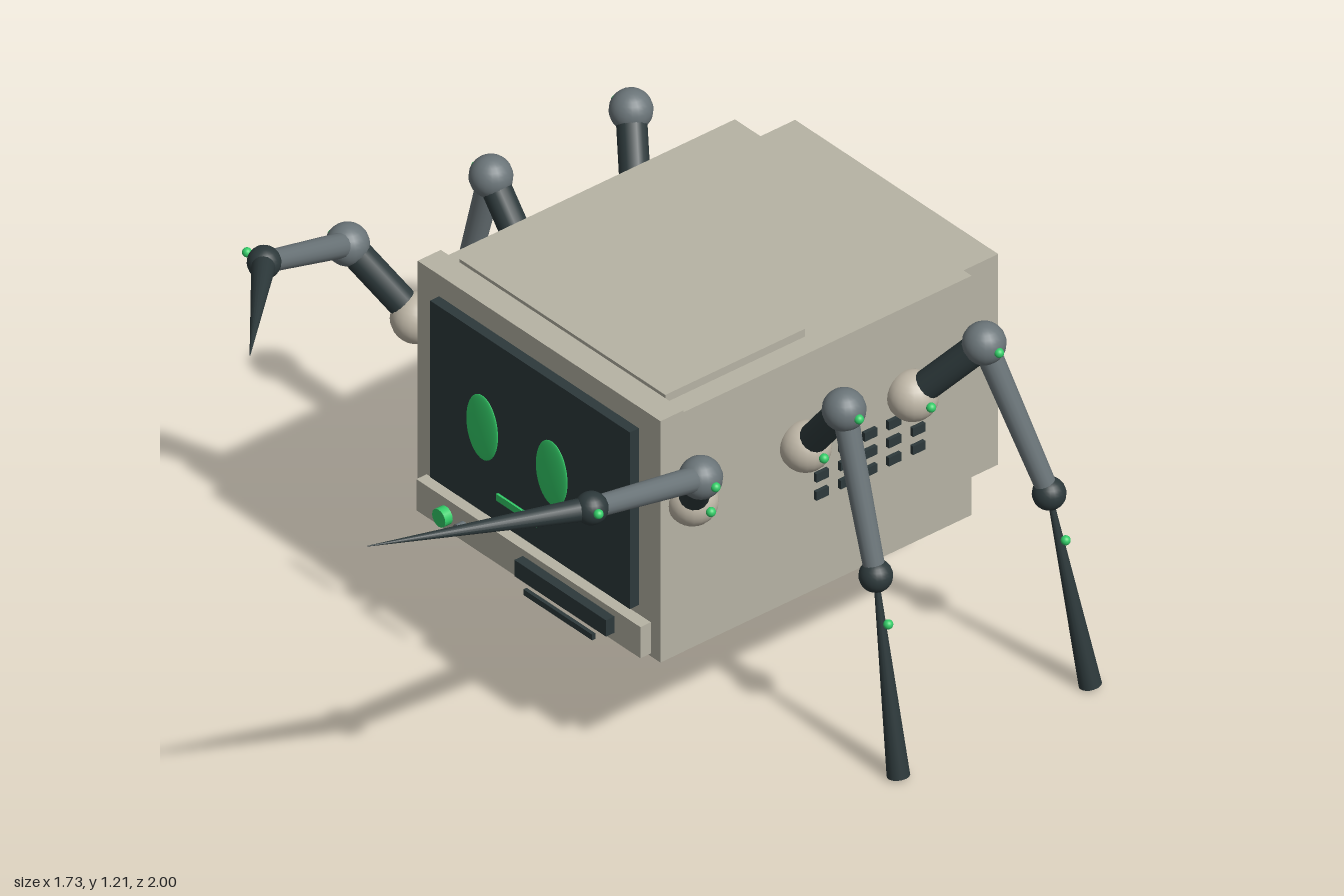
import * as THREE from 'three';

const mat = (name, color) => {
  const m = new THREE.MeshStandardMaterial({ color });
  m.name = name;
  return m;
};

export function createModel() {
  const model = new THREE.Group();
  model.name = 'spiderComputer';
  const beige = mat('casing beige', 0xb6b3a4);
  const cream = mat('shoulder cream', 0xc0b8a8);
  const grey = mat('joint grey', 0x6b7579);
  const dark = mat('dark slate', 0x2d393b);
  const green = mat('signal green', 0x33cc68);

  const add = (name, geometry, material, parent = model) => {
    const mesh = new THREE.Mesh(geometry, material);
    mesh.name = name;
    parent.add(mesh);
    return mesh;
  };
  // Box given by its limits on each axis
  const box = (name, material, [x0, x1], [y0, y1], [z0, z1]) => {
    const b = add(name, new THREE.BoxGeometry(x1 - x0, y1 - y0, z1 - z0), material);
    b.position.set((x0 + x1) / 2, (y0 + y1) / 2, (z0 + z1) / 2);
    return b;
  };
  const ball = (name, material, r, p, parent) => {
    const s = add(name, new THREE.SphereGeometry(r, 20, 14), material, parent);
    s.position.copy(p);
    return s;
  };
  // Tapered rod from a (radius ra) to b (radius rb)
  const rod = (name, material, a, b, ra, rb, parent) => {
    const d = b.clone().sub(a);
    const c = add(name, new THREE.CylinderGeometry(rb, ra, d.length(), 16), material, parent);
    c.position.copy(a).addScaledVector(d, 0.5);
    c.quaternion.setFromUnitVectors(new THREE.Vector3(0, 1, 0), d.normalize());
    return c;
  };
  const V = (x, y, z) => new THREE.Vector3(x, y, z);

  // Monitor casing
  box('casing', beige, [-0.384, 0.474], [0.324, 1.0], [-0.865, 0.031]);
  box('rearHousing', beige, [-0.325, 0.411], [0.375, 0.97], [-1.0, -0.865]);
  box('topPlate', beige, [-0.33, 0.416], [1.0, 1.022], [-0.403, 0.026]);
  box('bezel', beige, [-0.394, 0.486], [0.334, 1.016], [0.029, 0.1]);
  box('controlStrip', beige, [-0.361, 0.451], [0.342, 0.43], [0.1, 0.132]);
  box('screen', dark, [-0.316, 0.408], [0.457, 0.956], [0.1, 0.128]);

  // Face
  for (const x of [-0.08, 0.172]) {
    const eye = add('eye', new THREE.SphereGeometry(1, 32, 20), green);
    eye.scale.set(0.057, 0.09, 0.007);
    eye.position.set(x, 0.737, 0.168);
  }
  box('mouth', green, [-0.025, 0.122], [0.56, 0.579], [0.166, 0.172]);

  // Controls
  rod('powerButton', green, V(-0.253, 0.385, 0.13), V(-0.253, 0.385, 0.155), 0.024, 0.024);
  rod('smallKnob', grey, V(-0.187, 0.385, 0.13), V(-0.187, 0.385, 0.155), 0.015, 0.015);
  box('drive', dark, [0.025, 0.357], [0.366, 0.412], [0.13, 0.158]);
  box('driveSlot', dark, [0.067, 0.316], [0.338, 0.354], [0.156, 0.166]);

  // Side vents
  for (const x of [-0.389, 0.479]) {
    for (let row = 0; row < 3; row++) {
      for (let col = 0; col < 5; col++) {
        const z = -0.4 - col * 0.074, y = 0.694 - row * 0.051;
        box('vent', dark, [x - 0.005, x + 0.005], [y - 0.012, y + 0.012], [z - 0.019, z + 0.019]);
      }
    }
  }

  // Legs: s is the side, zs the shoulder, zk the knee; ankle and tip are given in full
  const leg = (name, s, zs, zk, ankle, tip, isArm) => {
    const g = new THREE.Group();
    g.name = name;
    model.add(g);
    const shoulder = V(s * 0.5, 0.764, zs), knee = V(s * 0.64, 0.94, zk);
    const inward = V(-s, 0, -(zk - zs) * 2.8).normalize();
    rod('shoulderMount', grey, shoulder.clone().addScaledVector(inward, 0.02),
      shoulder.clone().addScaledVector(inward, 0.082), 0.047, 0.047, g);
    ball('shoulder', cream, 0.063, shoulder, g);
    rod('upperLeg', dark, shoulder, knee, 0.037, 0.037, g);
    ball('knee', grey, 0.053, knee, g);
    rod('middleLeg', grey, knee, ankle, 0.031, 0.026, g);
    ball('ankle', dark, 0.041, ankle, g);
    if (isArm) rod('claw', dark, ankle, tip, 0.03, 0.001, g);
    else rod('foot', dark, ankle, tip, 0.006, 0.028, g);

    // Signal lights beside each joint
    const lamp = isArm ? ankle.clone().add(V(s * 0.044, 0.012, 0.015))
      : ankle.clone().lerp(tip, 0.22).add(V(s * 0.027, 0, 0));
    for (const p of [shoulder.clone().add(V(s * 0.067, 0, 0)),
      knee.clone().add(V(s * 0.054, 0, 0)), lamp]) ball('light', green, 0.012, p, g);
  };

  for (const s of [-1, 1]) {
    const side = s > 0 ? 'left' : 'right';
    leg(side + 'MiddleLeg', s, -0.333, -0.333, V(s * 0.755, 0.53, -0.333), V(s * 0.837, 0.007, -0.333), false);
    leg(side + 'BackLeg', s, -0.662, -0.763, V(s * 0.755, 0.53, -0.865), V(s * 0.837, 0.007, -0.922), false);
  }
  leg('rightArm', -1, 0.014, 0.107, V(-0.508, 1.117, 0.475), V(-0.128, 1.209, 0.84), true);
  leg('leftArm', 1, 0.014, 0.107, V(0.717, 1.068, 0.508), V(0.485, 1.055, 1.0), true);
  return model;
}
